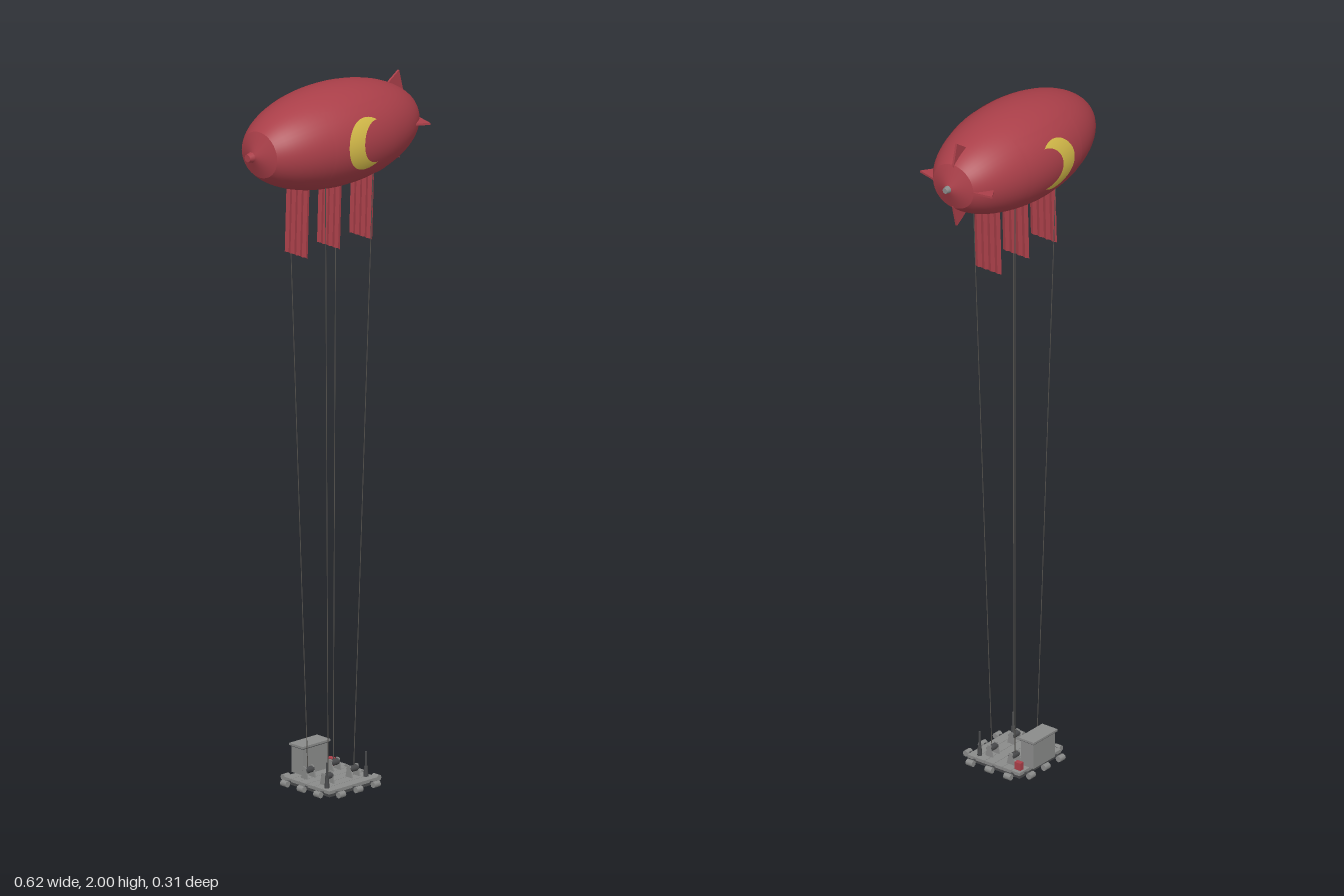
import * as THREE from 'three';

const mat = (name, color, side = THREE.FrontSide) => {
  const m = new THREE.MeshStandardMaterial({ color, side });
  m.name = name;
  return m;
};

export function createModel() {
  const red = mat('red cloth', 0xaa3f49, THREE.DoubleSide);
  const yellow = mat('yellow paint', 0xd6bc4a, THREE.DoubleSide);
  const grey = mat('grey metal', 0x8a8b8a);
  const dark = mat('dark metal', 0x48494b);
  const rope = mat('rope', 0x55534f);

  const model = new THREE.Group();
  model.name = 'airship';
  const add = (parent, name, geo, material, x = 0, y = 0, z = 0) => {
    const mesh = new THREE.Mesh(geo, material);
    mesh.name = name;
    mesh.position.set(x, y, z);
    parent.add(mesh);
    return mesh;
  };
  const box = (w, h, d) => new THREE.BoxGeometry(w, h, d);
  const cyl = (r1, r2, h, n = 10) => new THREE.CylinderGeometry(r1, r2, h, n);

  // Envelope: an ellipsoid along x whose ends finish in blunt cones
  const A = 0.3, RY = 0.142, RZ = 0.153, END = 0.267;
  const CX = 0.003, CY = 1.858;
  const balloon = new THREE.Group();
  balloon.name = 'balloon';
  balloon.position.set(CX, CY, 0);
  model.add(balloon);

  const profile = [];
  const t0 = Math.acos(END / A);
  for (let i = 0; i <= 28; i++) {
    const t = Math.PI - t0 - (Math.PI - 2 * t0) * (i / 28);
    profile.push(new THREE.Vector2(RZ * Math.sin(t), A * Math.cos(t)));
  }
  const hull = new THREE.LatheGeometry(profile, 48).rotateZ(-Math.PI / 2).scale(1, RY / RZ, 1);
  add(balloon, 'envelope', hull, red);
  for (const s of [-1, 1]) {
    const cap = new THREE.ConeGeometry(RZ * Math.sin(t0), 0.026, 48, 1, true);
    cap.rotateZ(-s * Math.PI / 2).scale(1, RY / RZ, 1);
    add(balloon, 'envelopeTip', cap, red, s * (END + 0.013));
  }
  add(balloon, 'noseKnob', cyl(0.015, 0.011, 0.015).rotateZ(-Math.PI / 2), red, -0.305);
  add(balloon, 'tailHub', cyl(0.008, 0.011, 0.014).rotateZ(-Math.PI / 2), grey, 0.297);

  // Tail fins, four around the axis
  const finShape = new THREE.Shape([[0.2, 0.085], [0.222, 0.104], [0.254, 0.125], [0.27, 0.06], [0.22, 0.05]]
    .map(p => new THREE.Vector2(...p)));
  for (let i = 0; i < 4; i++) {
    const fin = new THREE.ExtrudeGeometry(finShape, { depth: 0.006, bevelEnabled: false }).translate(0, 0, -0.003);
    add(balloon, 'tailFin', fin, red).rotation.x = i * Math.PI / 2;
  }

  // Thin patches lying on the envelope; place(u, v) gives x and y
  const patch = (name, material, lift, side, nu, nv, place) => {
    const geo = new THREE.PlaneGeometry(1, 1, nu, nv);
    const p = geo.attributes.position;
    for (let i = 0; i < p.count; i++) {
      const [x, y] = place(p.getX(i) + 0.5, p.getY(i) + 0.5);
      const z = RZ * Math.sqrt(Math.max(0, 1 - (x / A) ** 2 - (y / RY) ** 2));
      p.setXYZ(i, x, y, side * (z + lift));
    }
    geo.computeVertexNormals();
    add(balloon, name, geo, material);
  };
  for (const s of [-1, 1]) {
    patch('sidePanel', red, 0.0015, s, 16, 16, (u, v) => [-0.117 + 0.234 * u, -0.106 + 0.212 * v]);
    // Crescent between a wide outer arc and a shallower inner arc
    patch('crescent', yellow, 0.003, s, 32, 8, (u, v) => {
      const a = Math.PI * (0.305 + 1.39 * u);
      const outer = [0.073 * Math.cos(a), 0.005 + 0.073 * Math.sin(a)];
      const innerX = 0.042 - 0.061 * Math.sin(Math.PI * u);
      const innerY = 0.005 + 0.06 * Math.cos(Math.PI * u);
      return [outer[0] + (innerX - outer[0]) * v, outer[1] + (innerY - outer[1]) * v];
    });
  }

  // Three pleated banners hanging under the envelope
  for (const x of [-0.121, 0, 0.121]) {
    const cloth = new THREE.PlaneGeometry(0.09, 0.2, 8, 1).rotateY(Math.PI / 2);
    const p = cloth.attributes.position;
    for (let i = 0; i < p.count; i++) {
      const pleat = Math.round((p.getZ(i) + 0.045) / 0.01125) % 2 ? 0.002 : -0.002;
      p.setX(i, pleat + p.getY(i) * 0.035);
    }
    const flat = cloth.toNonIndexed();
    flat.computeVertexNormals();
    add(model, 'banner', flat, red, x, 1.64, 0);
  }

  // Gondola deck with fenders around its rim
  const gondola = new THREE.Group();
  gondola.name = 'gondola';
  gondola.position.x = CX;
  model.add(gondola);
  add(gondola, 'deckBase', box(0.18, 0.008, 0.18), dark, 0, 0.008, 0);
  for (let i = 0; i < 6; i++) {
    add(gondola, 'deckPlank', box(0.182, 0.009, 0.029), grey, 0, 0.0165, -0.0755 + i * 0.0302);
  }
  for (let side = 0; side < 4; side++) {
    const rim = new THREE.Group();
    rim.name = 'rim';
    rim.rotation.y = side * Math.PI / 2;
    gondola.add(rim);
    for (const x of [-0.065, 0, 0.065]) {
      add(rim, 'fenderArm', box(0.007, 0.007, 0.02), dark, x, 0.012, 0.095);
      add(rim, 'fender', cyl(0.009, 0.009, 0.022, 8).rotateZ(Math.PI / 2), grey, x, 0.011, 0.109);
    }
  }

  // Cabin at the back of the deck
  add(gondola, 'cabin', box(0.094, 0.077, 0.044), grey, 0, 0.0595, -0.082);
  add(gondola, 'cabinRoof', box(0.104, 0.006, 0.053), grey, 0, 0.101, -0.082);
  add(gondola, 'roofTrim', box(0.098, 0.003, 0.048), dark, 0, 0.0965, -0.082);
  add(gondola, 'redChest', box(0.014, 0.022, 0.02), red, 0.072, 0.032, -0.073);

  // Winches and the ropes that rise from them
  const stand = new THREE.Shape([[-0.013, 0], [0.013, 0], [0.005, 0.034], [-0.005, 0.034]]
    .map(p => new THREE.Vector2(...p)));
  for (const sx of [-1, 1]) for (const sz of [-1, 1]) {
    const winch = new THREE.Group();
    winch.name = 'winch';
    winch.position.set(sx * 0.048, 0.02, sz * 0.037);
    gondola.add(winch);
    for (const x of [-0.016, 0.012]) {
      const plate = new THREE.ExtrudeGeometry(stand, { depth: 0.004, bevelEnabled: false }).rotateY(Math.PI / 2);
      add(winch, 'winchStand', plate, grey, x);
    }
    add(winch, 'winchDrum', cyl(0.009, 0.009, 0.03, 10).rotateZ(Math.PI / 2), dark, 0, 0.023, 0);

    const path = new THREE.LineCurve3(
      new THREE.Vector3(CX + sx * 0.048, 0.045, sz * 0.04),
      new THREE.Vector3(CX + sx * 0.089, 1.75, sz * 0.073));
    add(model, 'rope', new THREE.TubeGeometry(path, 1, 0.0013, 5), rope);
  }

  // Two posts near the front corners
  for (const s of [-1, 1]) {
    add(gondola, 'postBase', cyl(0.005, 0.007, 0.03, 8), dark, s * 0.073, 0.035, 0.062);
    add(gondola, 'post', cyl(0.003, 0.003, 0.045, 8), dark, s * 0.073, 0.07, 0.062);
  }

  return model;
}
